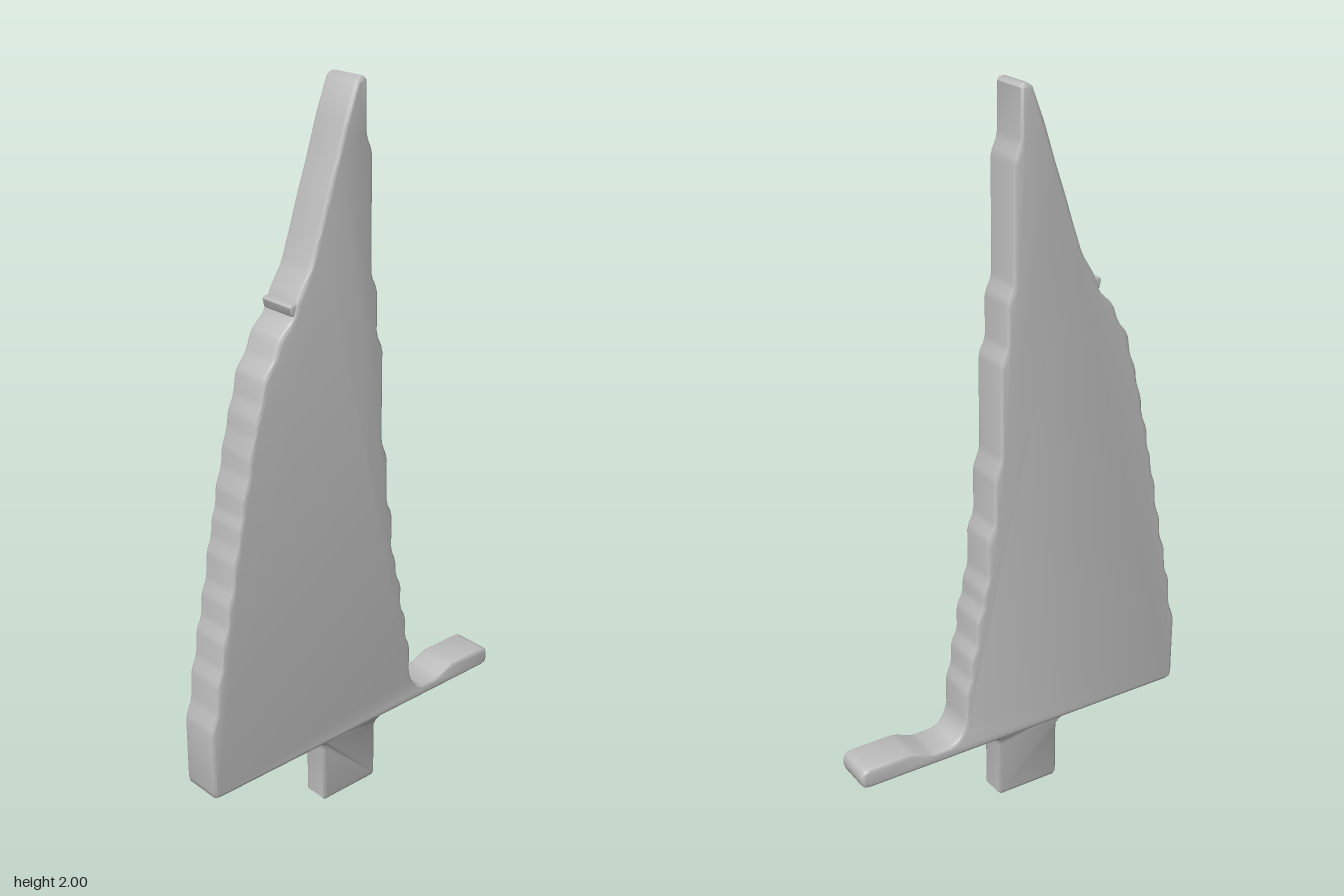
import * as THREE from 'three';
import { toCreasedNormals } from 'three/addons/utils/BufferGeometryUtils.js';

// Cut every corner of an outline by a small, limited distance.
function roundOutline(points, cut) {
  const out = [];
  points.forEach(([x, y], i) => {
    const p = new THREE.Vector2(x, y);
    for (const j of [i - 1, i + 1]) {
      const q = new THREE.Vector2(...points[(j + points.length) % points.length]);
      const d = q.sub(p), len = d.length();
      out.push(p.clone().addScaledVector(d, Math.min(cut, len * 0.3) / len));
    }
  });
  return out;
}

// Soft-edged slab centred on z = 0.
function slab(points, depth, bevel, cut = 0.01) {
  return new THREE.ExtrudeGeometry(new THREE.Shape(roundOutline(points, cut)), {
    depth: depth - 2 * bevel, bevelEnabled: true, bevelThickness: bevel,
    bevelSize: bevel, bevelOffset: -bevel, bevelSegments: 3,
  }).translate(0, 0, bevel - depth / 2);
}

export function createModel() {
  const group = new THREE.Group();
  const grey = new THREE.MeshStandardMaterial({ color: 0xbdbdbd });
  grey.name = 'plain grey';
  const add = (name, geometry) => {
    const mesh = new THREE.Mesh(toCreasedNormals(geometry, 0.7), grey);
    mesh.name = name;
    group.add(mesh);
  };

  // Stepped right edge: [x, top of step, bottom of step]
  const steps = [
    [0.016, 2, 1.86], [0.035, 1.82, 1.51], [0.055, 1.47, 1.35], [0.075, 1.31, 1.05],
    [0.095, 1.0, 0.87], [0.115, 0.83, 0.72], [0.132, 0.68, 0.64], [0.152, 0.6, 0.53],
    [0.172, 0.49, 0.43], [0.19, 0.39, 0.3],
  ];
  const rightEdge = steps.flatMap(([x, a, b]) => [[x, a], [x, b]]);

  // Low tail reaching out from the foot of the blade
  const tail = [
    [0.205, 0.262], [0.23, 0.24], [0.3, 0.238], [0.355, 0.262],
    [0.495, 0.262], [0.511, 0.248], [0.511, 0.216], [0.498, 0.204],
  ];

  // Rippled, bowed left edge, bottom to top
  const leftEdge = [
    [-0.502, 0.204], [-0.513, 0.215], [-0.513, 0.41], [-0.493, 0.46], [-0.49, 0.54],
    [-0.472, 0.58], [-0.468, 0.65], [-0.45, 0.69], [-0.447, 0.75], [-0.43, 0.79],
    [-0.426, 0.86], [-0.41, 0.9], [-0.406, 0.95], [-0.393, 0.98], [-0.391, 1.03],
    [-0.371, 1.08], [-0.367, 1.13], [-0.349, 1.18], [-0.345, 1.22], [-0.326, 1.26],
    [-0.317, 1.32], [-0.284, 1.36], [-0.267, 1.41], [-0.224, 1.45], [-0.206, 1.5],
    [-0.168, 1.56], [-0.14, 1.64], [-0.114, 1.72], [-0.082, 1.81], [-0.053, 1.9],
    [-0.014, 2],
  ];
  add('blade', slab([...leftEdge, ...rightEdge, ...tail], 0.116, 0.01));

  // Small nub on the left edge
  add('nub', slab([[-0.23, 1.488], [-0.222, 1.455], [-0.19, 1.455], [-0.19, 1.49]], 0.108, 0.005, 0.006));

  // Mounting peg, flared where it meets the blade
  const peg = slab([
    [-0.12, 0], [0.075, 0], [0.075, 0.18], [0.082, 0.196], [0.1, 0.208], [0.1, 0.225],
    [-0.145, 0.225], [-0.145, 0.208], [-0.127, 0.196], [-0.12, 0.18],
  ], 0.074, 0.01);
  const pos = peg.attributes.position;
  for (let i = 0; i < pos.count; i++) {
    const t = THREE.MathUtils.smoothstep(pos.getY(i), 0.17, 0.21);
    pos.setZ(i, pos.getZ(i) * (1 + 0.4 * t));
  }
  add('peg', peg);

  return group;
}
